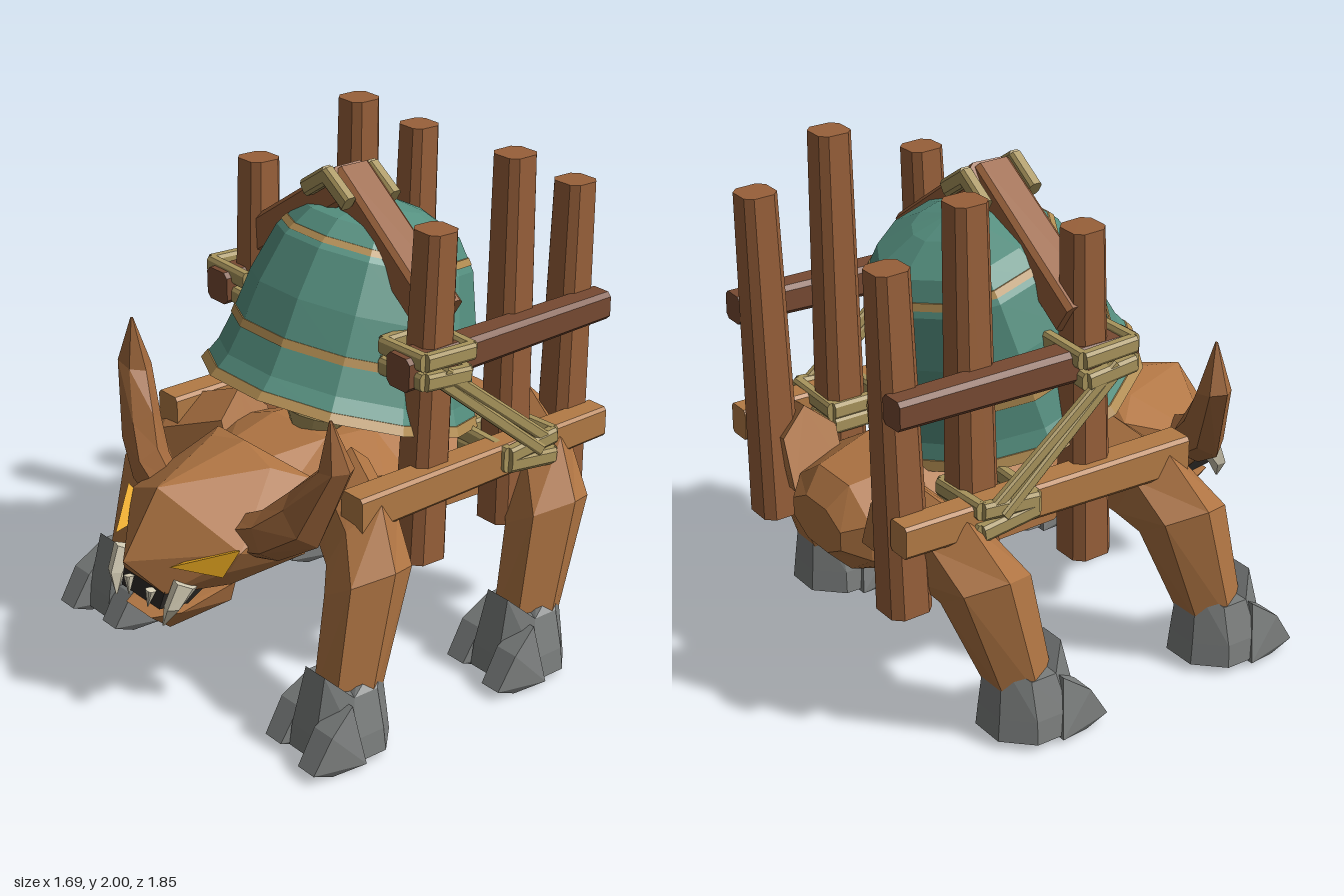
import * as THREE from 'three';
import { ConvexGeometry } from 'three/addons/geometries/ConvexGeometry.js';

const V = (x, y, z) => new THREE.Vector3(x, y, z);
const mat = (color) => new THREE.MeshStandardMaterial({ color, flatShading: true, side: THREE.DoubleSide });
const M = {
  skin: mat(0xb07543), horn: mat(0xa0683c), wood: mat(0x98603a), paleWood: mat(0xb37b45), darkWood: mat(0x774a32),
  rope: mat(0xa8945c), stone: mat(0x7b7e7d), bell: mat(0x559080), inner: mat(0x24443d),
  trim: mat(0xb28d52), eye: mat(0xe8a820), bone: mat(0xd8d0b8), mouth: mat(0x2c2926),
};

// Skin a row of equal-sized rings of points, capped at both ends, facing outward
function loft(rings) {
  const tris = [], n = rings[0].length;
  for (let i = 0; i < rings.length - 1; i++) {
    for (let j = 0; j < n; j++) {
      const k = (j + 1) % n, a = rings[i], b = rings[i + 1];
      tris.push([a[j], a[k], b[k]], [a[j], b[k], b[j]]);
    }
  }
  const last = rings[rings.length - 1];
  for (let j = 1; j < n - 1; j++) {
    tris.push([rings[0][0], rings[0][j + 1], rings[0][j]], [last[0], last[j], last[j + 1]]);
  }
  let volume = 0;
  for (const [a, b, c] of tris) volume += a.dot(b.clone().cross(c));
  const pos = [];
  for (const [a, b, c] of tris) for (const p of volume < 0 ? [a, c, b] : [a, b, c]) pos.push(p.x, p.y, p.z);
  const g = new THREE.BufferGeometry();
  g.setAttribute('position', new THREE.Float32BufferAttribute(pos, 3));
  g.computeVertexNormals();
  return g;
}

// Chamfered square bar from a to b; w and h are full sizes, taper scales the far end
function bar(a, b, w, h = w, taper = 1, chamfer = 0.2) {
  const d = b.clone().sub(a).normalize();
  const side = d.clone().cross(Math.abs(d.y) > 0.9 ? V(0, 0, 1) : V(0, 1, 0)).normalize();
  const up = side.clone().cross(d);
  const c = 1 - 2 * chamfer;
  const shape = [[1, c], [c, 1], [-c, 1], [-1, c], [-1, -c], [-c, -1], [c, -1], [1, -c]];
  const ringAt = (p, s) => shape.map(([u, v]) =>
    p.clone().addScaledVector(side, u * w * s / 2).addScaledVector(up, v * h * s / 2));
  return loft([ringAt(a, 1), ringAt(b, taper)]);
}

// Elliptical ring: centre c, half-axes u and v
const ring = (c, u, v, n, turn = 0) => Array.from({ length: n }, (_, i) => {
  const t = turn + i * 2 * Math.PI / n;
  return c.clone().addScaledVector(u, Math.cos(t)).addScaledVector(v, Math.sin(t));
});

// Convex block from points given for the +x half, mirrored to the other half
const mirroredHull = (pts) => new ConvexGeometry(pts.flatMap(([x, y, z]) =>
  x ? [V(x, y, z), V(-x, y, z)] : [V(0, y, z)]));

export function createModel() {
  const model = new THREE.Group();
  model.name = 'bellBeast';
  const add = (name, geo, material, parent = model) => {
    const m = new THREE.Mesh(geo, material);
    m.name = name;
    parent.add(m);
    return m;
  };

  // Body: z, half width, bottom, top
  const body = [[0.36, 0.25, 0.62, 0.92], [0.1, 0.38, 0.65, 0.95], [0.0, 0.385, 0.63, 0.94], [-0.13, 0.39, 0.5, 0.93],
    [-0.6, 0.37, 0.47, 0.92], [-0.84, 0.255, 0.52, 0.87], [-0.92, 0.17, 0.6, 0.78]];
  add('body', loft(body.map(([z, w, lo, hi]) =>
    ring(V(0, (lo + hi) / 2, z), V(w * 1.06, 0, 0), V(0, (hi - lo) / 2 * 1.06, 0), 8, Math.PI / 8))), M.skin);

  // Wedge-shaped head with a heavy brow running down to the snout tip
  add('head', mirroredHull([[0, 0.96, 0.36], [0.18, 0.92, 0.38], [0, 0.89, 0.76], [0.34, 0.72, 0.64],
    [0, 0.64, 0.92], [0.13, 0.53, 0.83], [0.29, 0.63, 0.66], [0.22, 0.53, 0.6], [0.3, 0.88, 0.26], [0.28, 0.58, 0.3]]),
  M.skin);
  add('mouth', mirroredHull([[0.13, 0.54, 0.83], [0.12, 0.47, 0.85], [0.12, 0.45, 0.72], [0.15, 0.54, 0.62]]), M.mouth);
  add('lowerJaw', mirroredHull([[0.08, 0.42, 0.86], [0.135, 0.43, 0.76], [0.07, 0.345, 0.77], [0.1, 0.38, 0.51],
    [0.13, 0.47, 0.51]]), M.skin);

  for (const s of [-1, 1]) {
    const side = s > 0 ? 'left' : 'right';
    const P = (x, y, z) => V(s * x, y, z);

    // Face details
    add(side + 'Eye', new ConvexGeometry([P(0.35, 0.74, 0.65), P(0.17, 0.66, 0.835), P(0.31, 0.63, 0.7),
      P(0.2, 0.68, 0.64)]), M.eye);
    add(side + 'Tusk', loft([ring(P(0.19, 0.58, 0.78), V(0.045, 0, 0), V(0, 0.02, 0.045), 5),
      ring(P(0.18, 0.5, 0.83), V(0.035, 0, 0), V(0, 0, 0.035), 5),
      ring(P(0.15, 0.42, 0.855), V(0.004, 0, 0), V(0, 0, 0.004), 5)]), M.bone);
    add(side + 'Tooth', bar(P(0.07, 0.53, 0.85), P(0.06, 0.46, 0.86), 0.035, 0.035, 0.1), M.bone);

    // Horn: centre, half-axis across, half depth
    const horn = [[0.2, 0.71, 0.56, -0.02, 0.07, 0.07], [0.37, 0.77, 0.53, -0.045, 0.085, 0.08],
      [0.5, 0.87, 0.48, -0.08, 0.08, 0.075], [0.613, 1.09, 0.425, -0.077, -0.015, 0.06],
      [0.6, 1.28, 0.44, -0.006, 0, 0.005]];
    add(side + 'Horn', loft(horn.map(([x, y, z, ux, uy, d]) =>
      ring(P(x, y, z), P(ux, uy, 0), V(0, 0, d), 6))), M.horn);

    // Legs with feet, front and hind alike
    for (const [end, dz] of [['Front', 0], ['Hind', -0.89]]) {
      const leg = new THREE.Group();
      leg.name = side + end + 'Leg';
      leg.position.z = dz;
      model.add(leg);
      const limb = [[0.27, 0.8, 0.13, 0.07, 0.19, 0.13], [0.51, 0.71, 0.22, 0.11, 0.18, 0.14],
        [0.625, 0.61, 0.285, 0.15, 0.09, 0.165], [0.655, 0.2, 0.405, 0.13, 0, 0.125]];
      add('limb', loft(limb.map(([x, y, z, ux, uy, d]) => ring(P(x, y, z), P(ux, uy, 0), V(0, 0, d), 6))),
        M.skin, leg);
      const foot = [[0.03, 0.19, 0.44], [0.12, 0.18, 0.44], [0.3, 0.14, 0.425]].map(([y, r, z]) =>
        ring(P(0.655, y, z), V(r, 0, 0), V(0, 0, r), 8, Math.PI / 8));
      // Jagged upper edge of the stone foot
      foot[2].forEach((p, i) => { p.y += i % 4 === 1 || i % 4 === 2 ? 0.045 : -0.03; });
      add('foot', loft(foot), M.stone, leg);
      for (const [x, f] of [[0.53, -0.04], [0.77, 0]]) {
        add('toe', new ConvexGeometry([-1, 1].flatMap((t) => [P(x + t * 0.03, 0.25, 0.5 + f),
          P(x + t * 0.05, 0.17, 0.61 + f), P(x + t * 0.045, 0.04, 0.69 + f), P(x + t * 0.04, 0, 0.6 + f),
          P(x + t * 0.075, 0.02, 0.47 + f)])), M.stone, leg);
      }
    }

    // Frame posts: bottom x, y, z, then top x, y, z
    for (const [x0, y0, z0, x1, y1, z1] of [[0.49, 0.54, -0.075, 0.51, 1.83, -0.11],
      [0.45, 0.54, -0.54, 0.44, 2, -0.55], [0.45, 0.53, -0.835, 0.44, 1.83, -0.865]]) {
      add(side + 'Post', bar(P(x0, y0, z0), P(x1, y1, z1), 0.17, 0.17, 0.8), M.wood);
    }
    // Rails
    add(side + 'LowerRail', bar(P(0.56, 0.865, 0.31), P(0.56, 0.88, -0.92), 0.12, 0.145, 0.85, 0.1), M.paleWood);
    add(side + 'UpperRail', bar(P(0.535, 1.34, 0.08), P(0.545, 1.355, -0.925), 0.125, 0.13, 0.85, 0.15), M.darkWood);
    // Gable beam above the bell
    add(side + 'GableBeam', bar(P(0.52, 1.5, -0.125), P(-0.03, 1.875, -0.145 - s * 0.01), 0.16, 0.14, 0.95, 0.12),
      M.wood);

    // Rope lashings: x range, z range, y, strand rise
    const lash = (x0, x1, z0, z1, y, tilt) => {
      const c = [P(x0, y, z0), P(x1, y + tilt, z0), P(x1, y - tilt, z1), P(x0, y, z1)];
      c.forEach((p, i) => add(side + 'Lashing', bar(p, c[(i + 1) % 4], 0.045, 0.065), M.rope));
    };
    lash(0.4, 0.63, 0.035, -0.19, 1.39, 0.005);
    lash(0.4, 0.63, 0.035, -0.17, 1.31, 0.01);
    lash(0.37, 0.63, -0.39, -0.62, 0.915, -0.01);
    lash(0.37, 0.63, -0.39, -0.62, 0.855, 0.015);
    // Diagonal ropes between the lashings
    add(side + 'DiagonalRope', bar(P(0.635, 1.34, -0.05), P(0.635, 0.93, -0.57), 0.03, 0.045), M.rope);
    add(side + 'DiagonalRope', bar(P(0.625, 1.31, -0.03), P(0.645, 0.89, -0.54), 0.03, 0.045), M.rope);

    // Half of the chevron ropes on the front and back of the gable joint
    for (const [z, y] of [[-0.035, 0], [-0.25, -0.02]]) {
      add('gableRope', bar(P(0.12, 1.83 + y, z), P(-0.01, 1.915 + y, z), 0.05, 0.065), M.rope);
    }
  }

  // Tilted bell with trim bands and a clapper
  const bell = new THREE.Group();
  bell.name = 'bell';
  bell.position.set(0, 1.03, -0.095);
  bell.rotation.x = -0.3;
  model.add(bell);
  const profile = [[0.54, 0], [0.495, 0.09], [0.468, 0.2], [0.438, 0.38], [0.38, 0.57], [0.3, 0.68],
    [0.15, 0.745], [0, 0.77]];
  const lathe = (pts) => new THREE.LatheGeometry(pts.map(([r, h]) => new THREE.Vector2(r, h)), 12, Math.PI / 12);
  add('bellShell', lathe(profile), M.bell, bell);
  add('bellInside', lathe(profile.map(([r, h]) => [r * 0.95, h * 0.97])), M.inner, bell);
  const radiusAt = (h) => {
    const i = Math.max(1, profile.findIndex((p) => p[1] >= h));
    const [r0, h0] = profile[i - 1], [r1, h1] = profile[i];
    return r0 + (r1 - r0) * (h - h0) / (h1 - h0);
  };
  for (const [a, b] of [[0, 0.035], [0.2, 0.232], [0.592, 0.615]]) {
    const ra = radiusAt(a), rb = radiusAt(b);
    add('bellBand', lathe([[ra - 0.02, a], [ra + 0.005, a], [rb + 0.005, b], [rb - 0.02, b]]), M.trim, bell);
  }
  const clapper = add('clapper', lathe([[0, -0.17], [0.08, -0.16], [0.12, -0.09], [0.11, -0.01], [0.045, 0.03],
    [0.035, 0.6], [0, 0.6]]), M.rope, bell);
  clapper.position.z = 0.09;

  return model;
}
